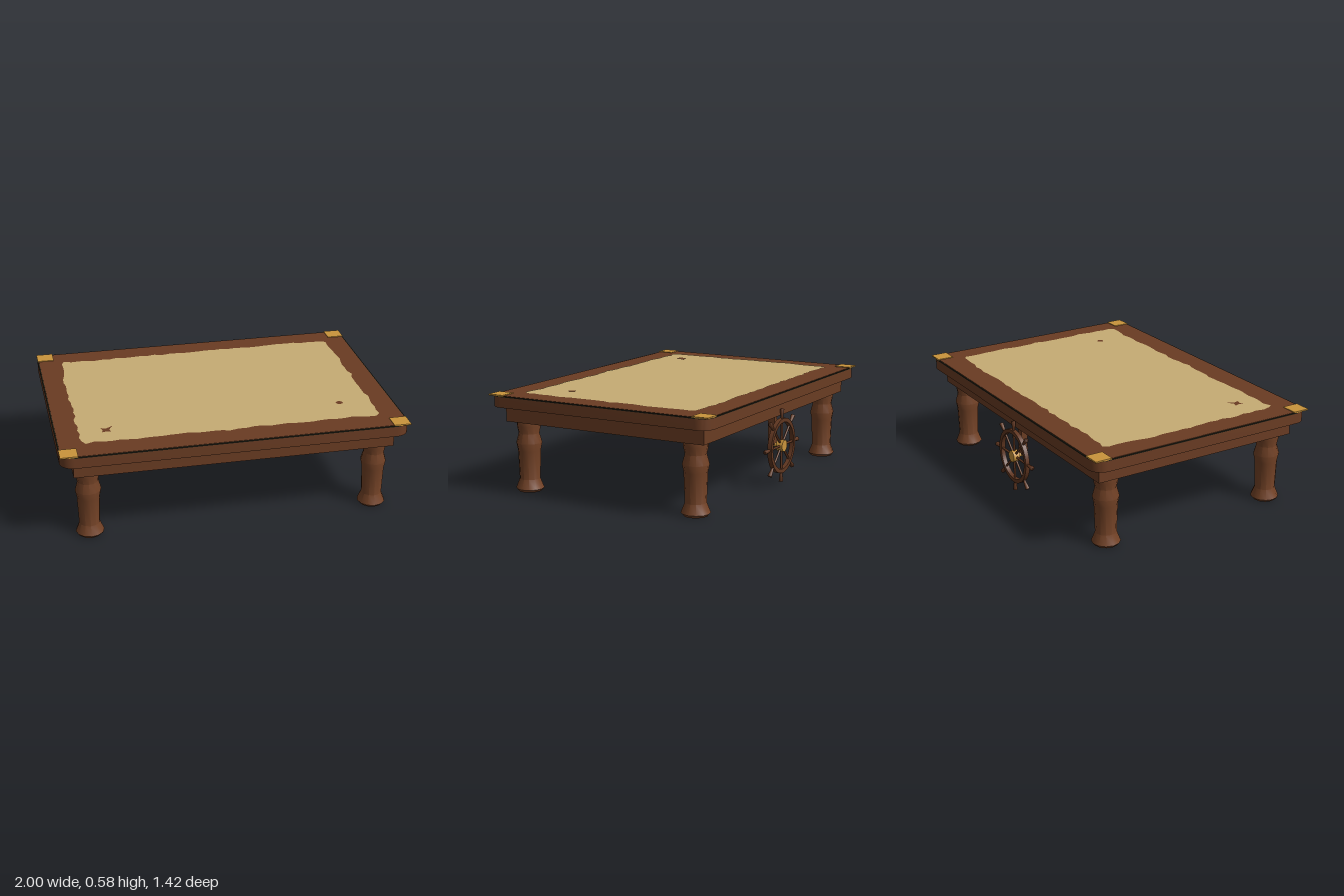
import * as THREE from 'three';
import { toCreasedNormals } from 'three/addons/utils/BufferGeometryUtils.js';

const paint = (name, color) => Object.assign(new THREE.MeshStandardMaterial({ color }), { name });

export function createModel() {
  const wood = paint('brown wood', 0x6a3c23);
  const legWood = paint('leg wood', 0x734226);
  const wheelWood = paint('wheel wood', 0x603620);
  const dark = paint('dark lining', 0x1d1c12);
  const brass = paint('brass', 0xc9943c);
  const parchment = paint('parchment', 0xc6ac74);
  const table = new THREE.Group();
  table.name = 'table';

  const add = (name, geometry, material, x = 0, y = 0, z = 0, parent = table) => {
    const mesh = new THREE.Mesh(geometry, material);
    mesh.name = name;
    mesh.position.set(x, y, z);
    parent.add(mesh);
    return mesh;
  };
  const box = (w, h, d) => new THREE.BoxGeometry(w, h, d);

  // Horizontal slab with rounded corners, its base at y = 0
  const slab = (w, d, r, h) => {
    const s = new THREE.Shape();
    const x = w / 2, y = d / 2;
    s.absarc(x - r, y - r, r, 0, Math.PI / 2);
    s.absarc(-x + r, y - r, r, Math.PI / 2, Math.PI);
    s.absarc(-x + r, -y + r, r, Math.PI, Math.PI * 1.5);
    s.absarc(x - r, -y + r, r, Math.PI * 1.5, Math.PI * 2);
    const g = new THREE.ExtrudeGeometry(s, { depth: h, bevelEnabled: false, curveSegments: 6 });
    g.rotateX(-Math.PI / 2);
    return toCreasedNormals(g, 0.6);
  };

  // Table top: dark underside, dark seam, wooden surface
  add('tableRim', slab(2, 1.42, 0.08, 0.061), [dark, wood], 0, 0.505, 0);
  add('darkSeam', slab(2, 1.42, 0.08, 0.006), dark, 0, 0.566, 0);
  add('tableSurface', slab(1.985, 1.405, 0.075, 0.002), wood, 0, 0.572, 0);
  add('apron', box(1.85, 0.093, 1.29), wood, 0, 0.4585, 0);

  // Map sheet with ragged edges and two worn holes
  let seed = 7;
  const random = () => (seed = (seed * 16807) % 2147483647) / 2147483647;
  const corners = [[-0.865, -0.56], [0.865, -0.56], [0.865, 0.56], [-0.865, 0.56]];
  const outline = [];
  corners.forEach(([x0, z0], i) => {
    const [x1, z1] = corners[(i + 1) % 4];
    const alongX = z0 === z1;
    const n = alongX ? 36 : 24;
    for (let k = 0; k < n; k++) {
      const t = (k + 0.5) / n;
      const wobble = (random() - 0.5) * 0.018 + Math.sin(t * 23 + i * 2) * 0.005;
      outline.push(new THREE.Vector2(
        x0 + (x1 - x0) * t + (alongX ? 0 : wobble),
        z0 + (z1 - z0) * t + (alongX ? wobble : 0)));
    }
  });
  const sheet = new THREE.Shape(outline);
  const hole = (x, y, radii) => sheet.holes.push(new THREE.Path(radii.map((r, i) => {
    const a = (i / radii.length) * Math.PI * 2;
    return new THREE.Vector2(x + r * Math.cos(a), y + r * Math.sin(a));
  })));
  hole(-0.71, -0.42, [0.018, 0.062, 0.016, 0.04, 0.018, 0.038, 0.02, 0.038]);
  hole(0.68, -0.355, [0.022, 0.02, 0.022, 0.019, 0.022, 0.021, 0.019, 0.022]);
  add('mapSheet', new THREE.ShapeGeometry(sheet).rotateX(-Math.PI / 2), parchment, 0, 0.5765, 0);

  // Legs and brass corner plates
  const profile = [[0, 0], [0.068, 0], [0.082, 0.016], [0.06, 0.072], [0.066, 0.24],
    [0.075, 0.285], [0.06, 0.34], [0.069, 0.385], [0.07, 0.413]];
  const legShape = toCreasedNormals(
    new THREE.LatheGeometry(profile.map(([r, y]) => new THREE.Vector2(r, y)), 12), 0.55);
  for (const sx of [-1, 1]) for (const sz of [-1, 1]) {
    add('leg', legShape, legWood, sx * 0.84, 0, sz * 0.55);
    add('cornerPlate', box(0.1, 0.008, 0.1), brass, sx * 0.95, 0.574, sz * 0.66);
  }

  // Steering wheel hung from the back edge
  const wheel = new THREE.Group();
  wheel.name = 'shipWheel';
  wheel.position.set(0, 0.235, -0.66);
  table.add(wheel);
  const ring = new THREE.Shape().absarc(0, 0, 0.164, 0, Math.PI * 2);
  ring.holes.push(new THREE.Path().absarc(0, 0, 0.14, 0, Math.PI * 2, true));
  add('wheelRing', toCreasedNormals(
    new THREE.ExtrudeGeometry(ring, { depth: 0.026, bevelEnabled: false, curveSegments: 24 }), 0.5),
  wheelWood, 0, 0, -0.013, wheel);
  const spokeShape = new THREE.LatheGeometry(
    [[0.007, 0.02], [0.007, 0.16], [0.009, 0.175], [0.014, 0.217], [0, 0.222]]
      .map(([r, y]) => new THREE.Vector2(r, y)), 8);
  for (let i = 0; i < 8; i++) {
    add('spoke', spokeShape, wheelWood, 0, 0, 0, wheel).rotation.z = (i * Math.PI) / 4;
  }
  const disc = (r, h) => new THREE.CylinderGeometry(r, r, h, 16).rotateX(Math.PI / 2);
  add('hub', disc(0.035, 0.04), brass, 0, 0, 0, wheel);
  add('axle', disc(0.012, 0.06), brass, 0, 0, 0.04, wheel);
  add('wheelBracket', box(0.038, 0.178, 0.04), wood, 0, 0.324, -0.6);

  return table;
}
